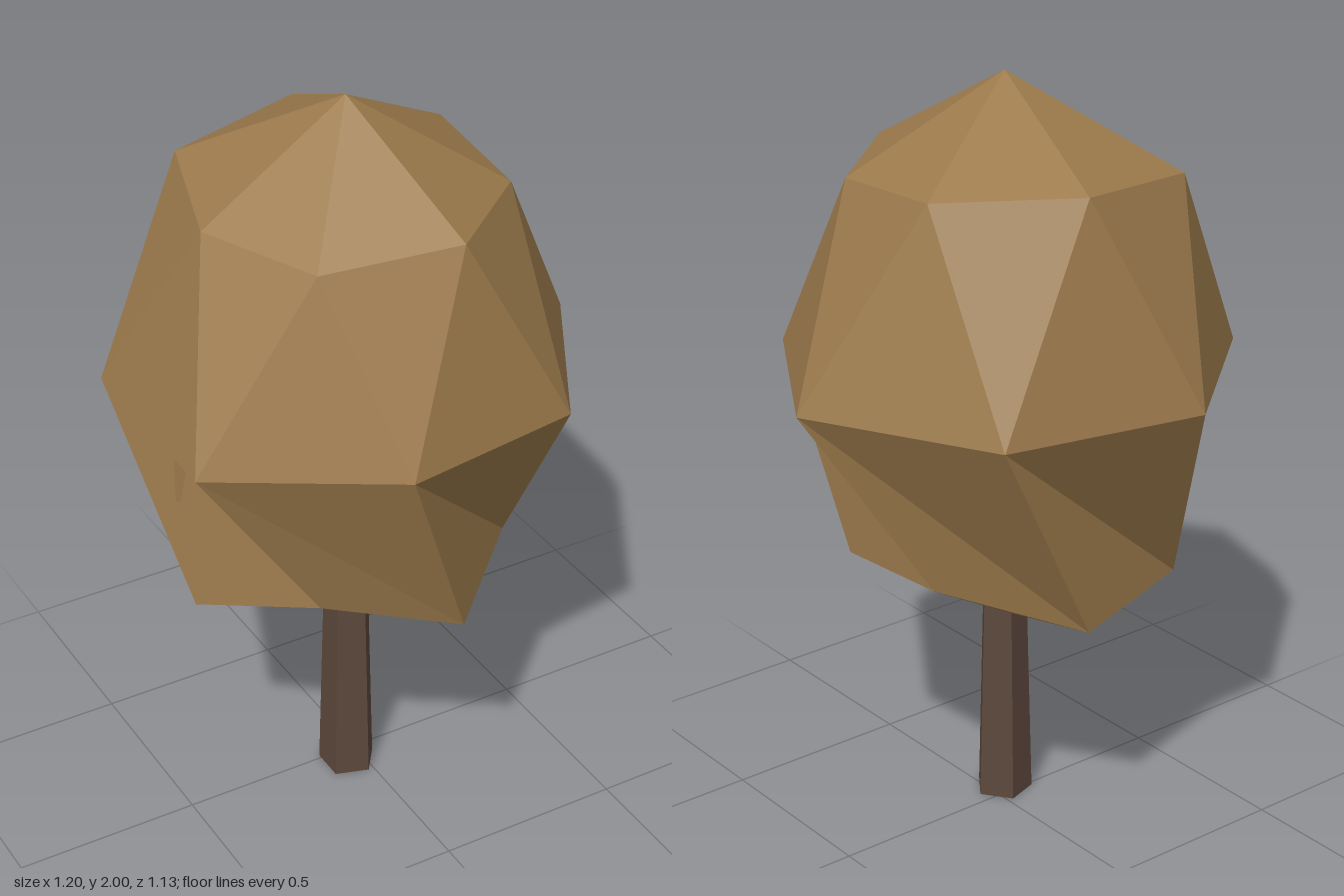
import * as THREE from 'three';

// Rings of the crown, each running from +x towards +z
const MID = [[0.6, 1.25, 0.03], [0.325, 1.25, 0.49], [-0.16, 1.25, 0.565], [-0.6, 1.25, 0.3],
  [-0.59, 1.25, -0.23], [-0.18, 1.25, -0.57], [0.35, 1.25, -0.46]];
const UPPER = [[0.32, 1.755, 0.2], [0.05, 1.765, 0.43], [-0.28, 1.72, 0.32], [-0.43, 1.74, 0.03],
  [-0.32, 1.77, -0.32], [0.05, 1.8, -0.4], [0.335, 1.78, -0.15]];
const LOWER = [[0.325, 0.745, 0.21], [0.05, 0.7, 0.465], [-0.28, 0.78, 0.32], [-0.48, 0.68, 0.03],
  [-0.32, 0.7, -0.32], [0.05, 0.675, -0.42], [0.32, 0.765, -0.14]];
const TOP = [-0.04, 2, 0.03];
const BOTTOM = [-0.04, 0.53, 0.03];

function crownGeometry() {
  const n = MID.length;
  const at = (ring, i) => ring[(i + n) % n];
  const points = [];
  const face = (a, b, c) => points.push(...a, ...b, ...c);
  for (let i = 0; i < n; i++) {
    // domed upper half
    face(TOP, at(UPPER, i + 1), at(UPPER, i));
    face(at(UPPER, i), at(MID, i + 1), at(MID, i));
    face(at(UPPER, i), at(UPPER, i + 1), at(MID, i + 1));
    // lower half, twisted by one step
    face(at(MID, i), at(MID, i + 1), at(LOWER, i - 1));
    face(at(MID, i), at(LOWER, i - 1), at(LOWER, i - 2));
    // shallow underside
    face(at(LOWER, i), at(LOWER, i + 1), BOTTOM);
  }
  const geometry = new THREE.BufferGeometry();
  geometry.setAttribute('position', new THREE.Float32BufferAttribute(points, 3));
  geometry.computeVertexNormals();
  return geometry;
}

export function createModel() {
  const foliage = new THREE.MeshStandardMaterial({ color: 0x9c7a4c });
  foliage.name = 'autumn foliage';
  const bark = new THREE.MeshStandardMaterial({ color: 0x5c483c });
  bark.name = 'bark';

  const tree = new THREE.Group();
  tree.name = 'tree';
  const add = (name, geometry, material, x = 0, y = 0, z = 0) => {
    const mesh = new THREE.Mesh(geometry, material);
    mesh.name = name;
    mesh.position.set(x, y, z);
    tree.add(mesh);
    return mesh;
  };

  add('crown', crownGeometry(), foliage);

  // small clump set in the folds of the crown
  const clump = add('leafClump', new THREE.BoxGeometry(0.1, 0.13, 0.26), foliage, -0.39, 1.03, -0.12);
  clump.rotation.y = -0.5;

  // tapered five-sided trunk with a corner towards +x
  const trunk = new THREE.CylinderGeometry(0.062, 0.078, 0.6, 5, 1, false, Math.PI / 2).toNonIndexed();
  trunk.computeVertexNormals();
  add('trunk', trunk, bark, -0.04, 0.3, 0.035);

  return tree;
}
